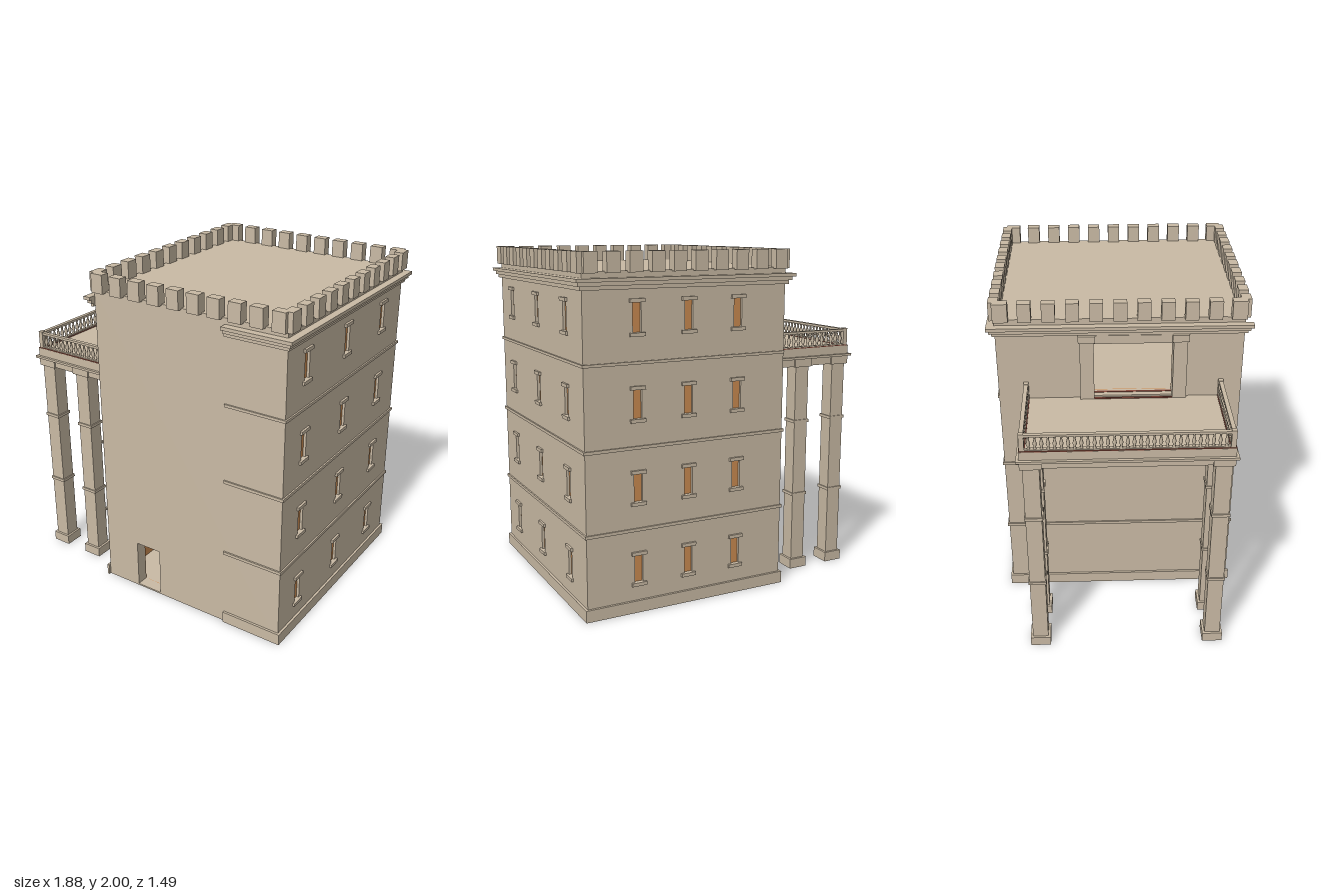
import * as THREE from 'three';

const stone = new THREE.MeshStandardMaterial({ color: 0xcabba5 });
stone.name = 'stone';
const ochre = new THREE.MeshStandardMaterial({ color: 0xcc8c52 });
ochre.name = 'ochre';
const brick = new THREE.MeshStandardMaterial({ color: 0x8a4a3c });
brick.name = 'brick';

// Tower bounds
const X0 = -0.35, X1 = 0.89, Z = 0.7, T = 0.07, TOP = 1.897;

// Box from its two opposite corners
function box(parent, name, x0, x1, y0, y1, z0, z1, mat = stone) {
  const m = new THREE.Mesh(new THREE.BoxGeometry(x1 - x0, y1 - y0, z1 - z0), mat);
  m.name = name;
  m.position.set((x0 + x1) / 2, (y0 + y1) / 2, (z0 + z1) / 2);
  parent.add(m);
  return m;
}

// Flat panel with rectangular holes [u0, u1, y0, y1], extruded along local +z
function panel(u0, u1, holes, depth, mat, name) {
  const rect = (P, a, b, c, d) => {
    const p = new P();
    p.moveTo(a, c);
    p.lineTo(b, c);
    p.lineTo(b, d);
    p.lineTo(a, d);
    p.closePath();
    return p;
  };
  const s = rect(THREE.Shape, u0, u1, 0, TOP);
  holes.forEach(h => s.holes.push(rect(THREE.Path, ...h)));
  const m = new THREE.Mesh(new THREE.ExtrudeGeometry(s, { depth, bevelEnabled: false }), mat);
  m.name = name;
  return m;
}

// Wall with openings, slit windows and an inner lining; outer face at local z = T
function wall(name, u0, u1, doors, windowUs) {
  const g = new THREE.Group();
  g.name = name;
  const slits = [];
  for (const u of windowUs) {
    for (let i = 0; i < 4; i++) {
      const y = 0.165 + i * 0.466;
      slits.push([u - 0.025, u + 0.025, y, y + 0.18]);
      box(g, 'windowPane', u - 0.025, u + 0.025, y, y + 0.18, T - 0.023, T - 0.015, ochre);
      for (const dy of [0, 0.18]) {
        box(g, dy ? 'windowLintel' : 'windowSill', u - 0.045, u + 0.045, y + dy - 0.01, y + dy + 0.01, T - 0.015, T + 0.013);
      }
    }
  }
  g.add(panel(u0, u1, [...doors, ...slits], T, stone, name + 'Face'));
  const lining = panel(u0 + T, u1 - T, doors, 0.005, ochre, name + 'Lining');
  lining.position.z = -0.005;
  g.add(lining);
  return g;
}

// Ledge around three sides, returning a short way along the front
function ledge(g, name, y0, y1, out, left = true) {
  box(g, name, X1, X1 + out, y0, y1, -Z - out, Z + out);
  box(g, name, X0, X1, y0, y1, -Z - out, -Z);
  box(g, name, 0.52, X1, y0, y1, Z, Z + out);
  if (left) box(g, name, X0 - out, X0, y0, y1, -Z - out, Z + out);
}

function buildTower() {
  const g = new THREE.Group();
  g.name = 'tower';
  const front = wall('frontWall', X0, X1, [[-0.12, 0.05, 0.01, 0.31]], []);
  front.position.z = Z - T;
  const back = wall('backWall', -X1, -X0, [], [-0.58, -0.27, 0.04]);
  back.rotation.y = Math.PI;
  back.position.z = -Z + T;
  const right = wall('rightWall', -Z, Z, [], [-0.488, -0.022, 0.444]);
  right.rotation.y = Math.PI / 2;
  right.position.x = X1 - T;
  const left = wall('leftWall', -Z, Z, [[-0.15, 0.3, 1.41, 1.75]], []);
  left.rotation.y = -Math.PI / 2;
  left.position.x = X0 + T;
  g.add(front, back, right, left);

  // Floors, roof and inner partition
  const floor = (n, a, b) => box(g, n, X0 + 0.001, X1 - 0.001, a, b, -Z + 0.001, Z - 0.001);
  floor('groundFloor', 0, 0.01);
  floor('middleFloor', 0.455, 0.475);
  floor('upperFloor', 1.39, 1.409);
  floor('roof', 1.87, 1.898);
  box(g, 'partition', X0 + T, 0.6, 0.12, 0.455, -0.5, -0.46);

  // Plinth, string courses and stepped cornice
  ledge(g, 'plinth', 0, 0.07, 0.014);
  ledge(g, 'stringCourse', 0.474, 0.492, 0.009);
  ledge(g, 'stringCourse', 0.939, 0.957, 0.009);
  ledge(g, 'stringCourse', 1.404, 1.42, 0.009, false);
  ledge(g, 'corniceLower', 1.803, 1.824, 0.016);
  ledge(g, 'corniceMiddle', 1.824, 1.845, 0.03);
  ledge(g, 'corniceUpper', 1.845, 1.864, 0.045);
  return g;
}

function buildBattlements() {
  const g = new THREE.Group();
  g.name = 'battlements';
  const m = (x, z, w, d) => box(g, 'merlon', x - w / 2, x + w / 2, 1.89, 2, z - d / 2, z + d / 2);
  for (let i = 0; i < 11; i++) {
    const z = (i - 5) * 0.1325, w = i % 10 ? 0.075 : 0.085;
    m(-0.347, z, 0.056, w);
    m(0.887, z, 0.056, w);
  }
  for (let i = 0; i < 10; i++) {
    const x = i === 0 ? -0.308 : i === 9 ? 0.848 : -0.18 + (i - 1) * 0.1287;
    m(x, 0.7, 0.077, 0.056);
    m(x, -0.7, 0.077, 0.056);
  }
  return g;
}

function buildBalcony() {
  const g = new THREE.Group();
  g.name = 'balcony';
  const z0 = -0.56, z1 = 0.6;

  // Deck with projecting moulding, and beams below
  box(g, 'deck', -0.925, X0, 1.35, 1.4, z0, z1);
  box(g, 'deckMoulding', -0.942, X0, 1.336, 1.35, z0 - 0.016, z1 + 0.016);
  box(g, 'outerBeam', -0.915, -0.815, 1.29, 1.336, z0 + 0.01, z1 - 0.01);
  box(g, 'sideBeam', -0.815, X0, 1.29, 1.336, z0 + 0.01, z0 + 0.11);
  box(g, 'sideBeam', -0.815, X0, 1.29, 1.336, z1 - 0.11, z1 - 0.01);

  // Paired pillars
  for (const x of [-0.865, -0.595]) {
    for (const z of [z0 + 0.06, z1 - 0.06]) {
      const part = (n, r, a, b) => box(g, n, x - r, x + r, a, b, z - r, z + r);
      part('pillarShaft', 0.046, 0.06, 1.29);
      part('pillarBase', 0.06, 0, 0.06);
      part('pillarBand', 0.053, 0.474, 0.492);
      part('pillarBand', 0.053, 0.939, 0.957);
      part('pillarCapital', 0.06, 1.287, 1.336);
    }
  }

  // Coloured edging strip, rails and posts
  const run = (n, a, b, inset, w, mat) => {
    box(g, n, -0.925 + inset, X0, a, b, z0 + inset, z0 + inset + w, mat);
    box(g, n, -0.925 + inset, X0, a, b, z1 - inset - w, z1 - inset, mat);
    box(g, n, -0.925 + inset, -0.925 + inset + w, a, b, z0 + inset, z1 - inset, mat);
  };
  run('edgingStrip', 1.4, 1.404, 0.001, 0.034, brick);
  run('bottomRail', 1.4, 1.411, 0.008, 0.022);
  run('topRail', 1.488, 1.502, 0.007, 0.024);
  for (const z of [z0 + 0.019, z1 - 0.019]) {
    for (const x of [-0.906, -0.364]) {
      box(g, 'railPost', x - 0.014, x + 0.014, 1.4, 1.507, z - 0.014, z + 0.014);
    }
  }

  // Turned balusters
  const profile = [[0.009, 0], [0.006, 0.012], [0.012, 0.03], [0.005, 0.06], [0.009, 0.078]]
    .map(p => new THREE.Vector2(...p));
  const geo = new THREE.LatheGeometry(profile, 8);
  const baluster = (x, z) => {
    const b = new THREE.Mesh(geo, stone);
    b.name = 'baluster';
    b.position.set(x, 1.411, z);
    g.add(b);
  };
  for (let i = 0; i < 15; i++) {
    const x = -0.875 + i * 0.0344;
    baluster(x, z0 + 0.019);
    baluster(x, z1 - 0.019);
  }
  for (let i = 0; i < 31; i++) baluster(-0.906, z0 + 0.055 + i * 0.035);

  // Doorway surround and threshold strips
  for (const z of [-0.19, 0.34]) {
    box(g, 'doorPilaster', X0 - 0.025, X0, 1.4, 1.762, z - 0.04, z + 0.04);
    box(g, 'doorCapital', X0 - 0.035, X0, 1.762, 1.803, z - 0.048, z + 0.048);
  }
  box(g, 'doorLintel', X0 - 0.02, X0, 1.752, 1.803, -0.15, 0.3);
  for (const x of [X0 - 0.025, X0 + 0.035]) {
    box(g, 'thresholdStrip', x, x + 0.014, 1.4, x < X0 ? 1.404 : 1.413, -0.15, 0.3, brick);
  }
  return g;
}

export function createModel() {
  const model = new THREE.Group();
  model.name = 'towerWithBalcony';
  model.add(buildTower(), buildBattlements(), buildBalcony());
  return model;
}
